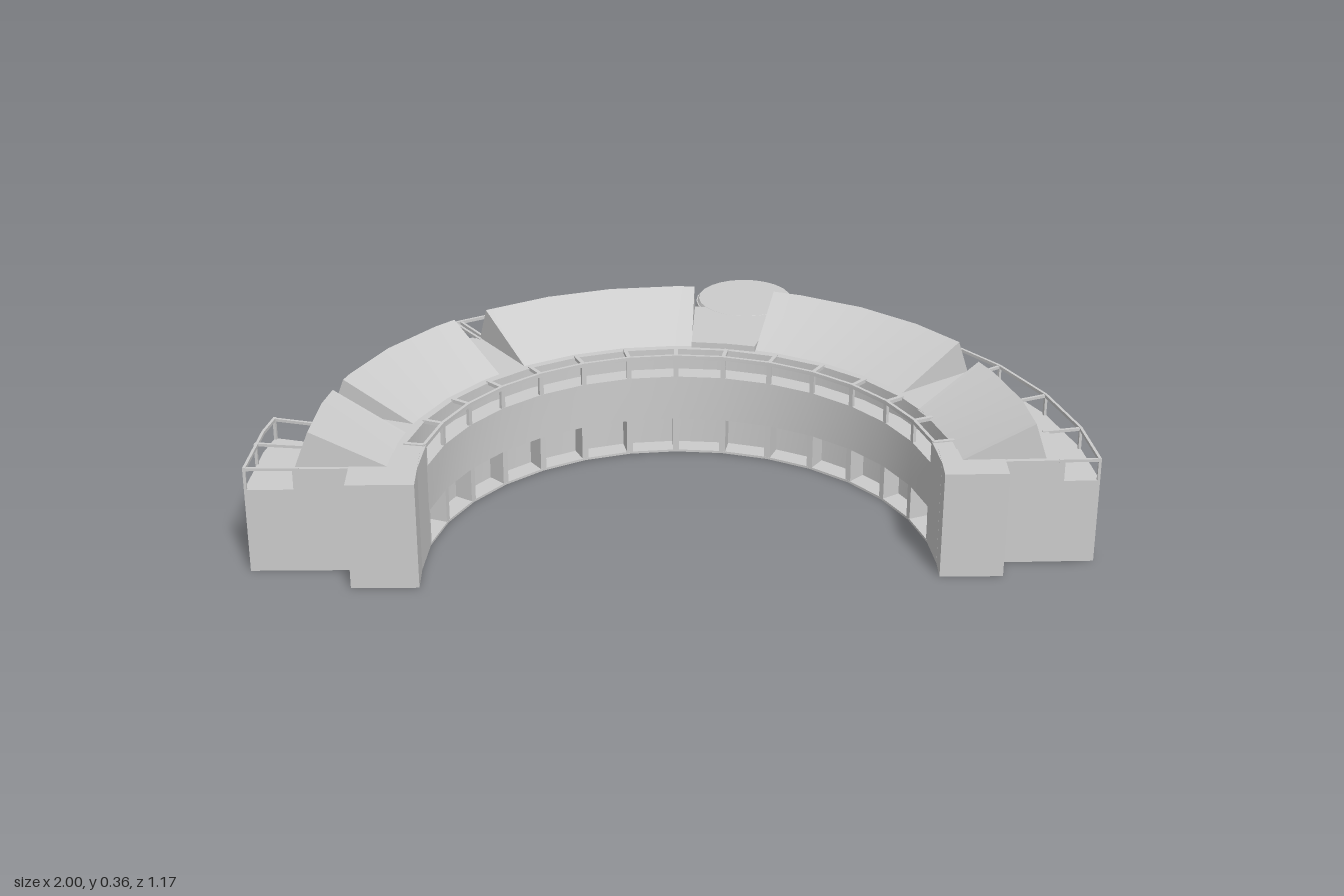
import * as THREE from 'three';
import { toCreasedNormals } from 'three/addons/utils/BufferGeometryUtils.js';

const CX = 0.02, CZ = 0.5;      // centre of the arc
const BAY = 79 / 7;             // degrees per bay, counted from the back (90)
const RAD = Math.PI / 180;
const material = new THREE.MeshStandardMaterial({ color: 0xcccccc });

const at = (r, y, deg) => [CX + r * Math.cos(deg * RAD), y, CZ - r * Math.sin(deg * RAD)];

// Bay boundaries between two angles, with both ends included
function stations(a0, a1) {
  const list = [a0];
  for (let k = -8; k <= 8; k++) {
    const a = 90 + k * BAY;
    if (a > a0 + 0.5 && a < a1 - 0.5) list.push(a);
  }
  return [...list, a1];
}

// Sweep a convex counter-clockwise (radius, height) profile along the arc
function sweep(profile, a0, a1) {
  const pos = [], angles = stations(a0, a1), n = profile.length;
  const tri = (...pts) => pts.forEach(([p, a]) => pos.push(...at(p[0], p[1], a)));
  for (let s = 0; s < angles.length - 1; s++) {
    const u = angles[s], v = angles[s + 1];
    profile.forEach((p, i) => {
      const q = profile[(i + 1) % n];
      tri([p, u], [p, v], [q, v]);
      tri([p, u], [q, v], [q, u]);
    });
  }
  for (let i = 1; i < n - 1; i++) {
    tri([profile[0], a0], [profile[i], a0], [profile[i + 1], a0]);
    tri([profile[0], a1], [profile[i + 1], a1], [profile[i], a1]);
  }
  const g = new THREE.BufferGeometry();
  g.setAttribute('position', new THREE.Float32BufferAttribute(pos, 3));
  return toCreasedNormals(g, 0.6);
}

const rect = (r0, r1, y0, y1) => [[r0, y0], [r1, y0], [r1, y1], [r0, y1]];

export function createModel() {
  const model = new THREE.Group();

  function add(name, geometry, parent = model) {
    const mesh = new THREE.Mesh(geometry, material);
    mesh.name = name;
    parent.add(mesh);
    return mesh;
  }
  function group(name) {
    const g = new THREE.Group();
    g.name = name;
    model.add(g);
    return g;
  }
  // Box from r0 to r1 and y0 to y1, turned to face along the radius
  function radialBox(name, r0, r1, y0, y1, width, deg, parent) {
    const m = add(name, new THREE.BoxGeometry(r1 - r0, y1 - y0, width), parent);
    m.position.set(...at((r0 + r1) / 2, (y0 + y1) / 2, deg));
    m.rotation.y = deg * RAD;
  }

  // Main curved building
  add('mainRing', sweep(rect(0.66, 0.9, 0, 0.27), 1.2, 180));
  add('rightInnerEnd', sweep(rect(0.61, 0.66, 0, 0.27), 1.2, 11));
  add('leftInnerEnd', sweep(rect(0.61, 0.66, 0, 0.27), 169, 180));

  // Inner side: arcade below, solid band, open gallery above
  const inner = group('innerGallery');
  add('arcadeFloor', sweep(rect(0.61, 0.66, 0, 0.006), 11, 169), inner);
  add('galleryBand', sweep(rect(0.61, 0.66, 0.095, 0.215), 11, 169), inner);
  add('galleryRail', sweep(rect(0.61, 0.618, 0.264, 0.274), 11, 169), inner);
  for (const a of stations(11, 169)) {
    radialBox('arcadePier', 0.61, 0.66, 0, 0.096, 0.016, a, inner);
    radialBox('galleryPost', 0.61, 0.618, 0.21, 0.27, 0.012, a, inner);
    radialBox('galleryBeam', 0.612, 0.665, 0.264, 0.273, 0.01, a, inner);
  }

  // Outer balconies with open frames
  const balconies = [
    ['right', 1.2, 67.4, 0.985],
    ['back', 98, 125, 1.015],
    ['left', 164.6, 180, 1.015],
  ];
  for (const [side, a0, a1, r] of balconies) {
    const b = group(side + 'Balcony');
    add('balconyBlock', sweep(rect(0.88, r, 0, 0.216), a0, a1), b);
    add('balconyRail', sweep(rect(r - 0.007, r, 0.265, 0.273), a0, a1), b);
    const posts = side === 'left' ? [a0, 172.5, a1] : stations(a0, a1);
    posts.forEach((a, i) => {
      const inset = i === 0 ? 0.2 : i === posts.length - 1 ? -0.2 : 0;
      radialBox('balconyPost', r - 0.007, r, 0.21, 0.27, 0.007, a + inset, b);
      radialBox('balconyBeam', 0.885, r - 0.002, 0.265, 0.272, 0.007, a + inset, b);
    });
  }

  // Sloped stands, rising outwards to a ridge
  const stands = group('slopedStands');
  const standProfile = [[0.675, 0.268], [0.895, 0.268], [0.86, 0.36]];
  const endProfile = [[0.655, 0.268], [0.858, 0.268], [0.828, 0.36]];
  add('rightEndStand', sweep(endProfile, 2, 27), stands);
  add('rightStand', sweep(standProfile, 35, 72.5), stands);
  add('backStand', sweep(standProfile, 86.5, 124.5), stands);
  add('leftStand', sweep(standProfile, 131, 160), stands);
  add('leftEndStand', sweep(standProfile, 164, 179.3), stands);

  // Round tower and its flat passage between the stands
  const tower = group('roundTower');
  const wall = add('towerWall', new THREE.CylinderGeometry(0.13, 0.13, 0.278, 24), tower);
  wall.position.set(0.21, 0.139, -0.455);
  const cap = add('towerCap', new THREE.CylinderGeometry(0.123, 0.128, 0.009, 24), tower);
  cap.position.set(0.21, 0.281, -0.455);
  add('towerPassage', sweep(rect(0.67, 0.9, 0.26, 0.285), 72.5, 86.5), tower);

  // Square blocks closing both ends
  for (const [name, x0, x1, z0, z1] of [
    ['rightEndBlock', 0.63, 0.78, 0.42, 0.55],
    ['leftEndBlock', -0.75, -0.59, 0.42, 0.585],
  ]) {
    const block = add(name, new THREE.BoxGeometry(x1 - x0, 0.271, z1 - z0));
    block.position.set((x0 + x1) / 2, 0.1355, (z0 + z1) / 2);
  }

  return model;
}
